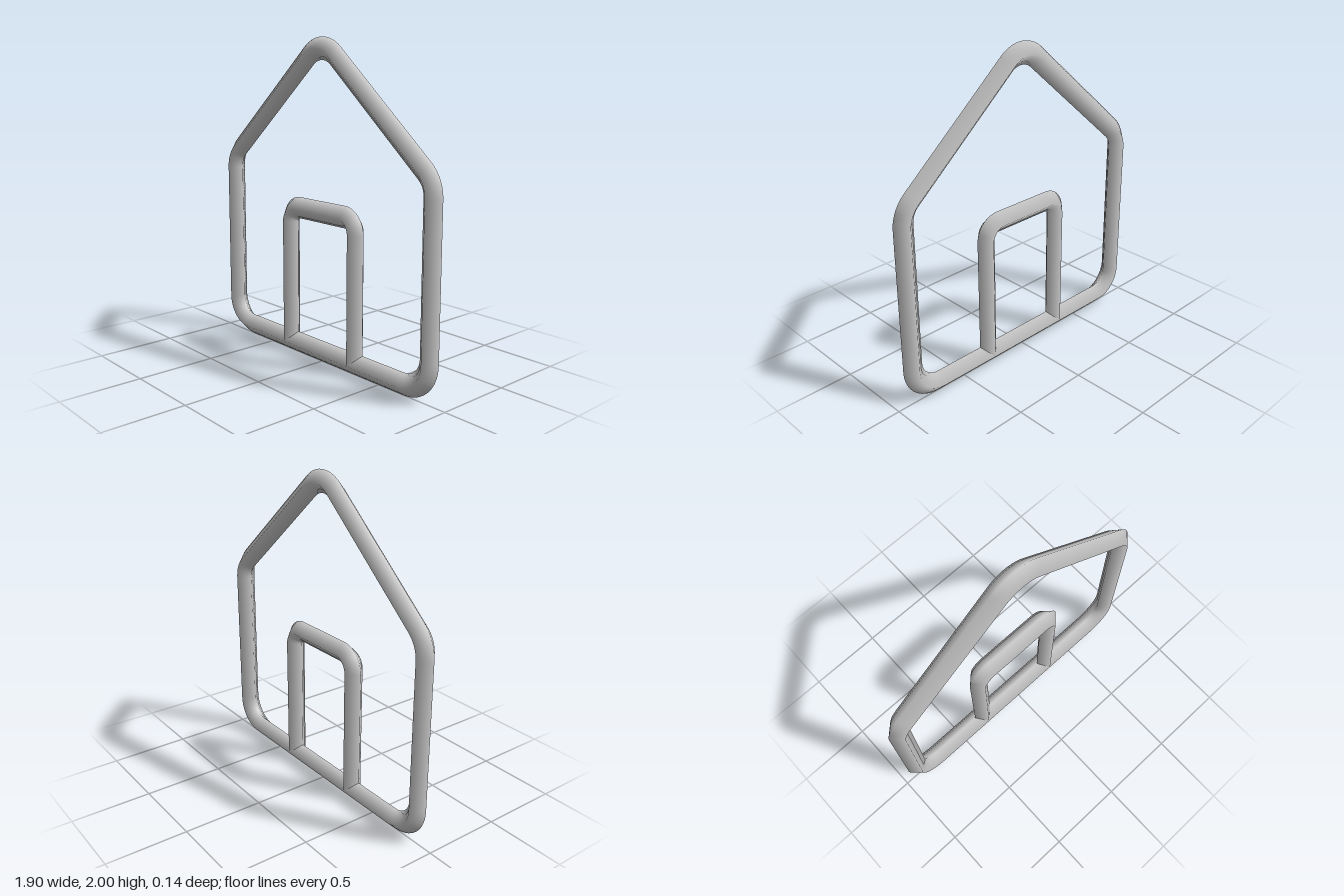
import * as THREE from 'three';

const TUBE = 0.068;

// Straight runs through the corner points, each corner rounded by an arc of the given radius
function roundedPath(points, radius, closed) {
  const pts = points.map(([x, y]) => new THREE.Vector3(x, y, 0));
  const n = pts.length;
  const path = new THREE.CurvePath();
  const corners = pts.map((p, i) => {
    if (!closed && (i === 0 || i === n - 1)) return { start: p, end: p };
    const a = pts[(i + n - 1) % n].clone().sub(p).normalize();
    const b = pts[(i + 1) % n].clone().sub(p).normalize();
    const turn = Math.PI - a.angleTo(b);
    const cut = radius * Math.tan(turn / 2);
    const handle = cut - radius * (4 / 3) * Math.tan(turn / 4);
    const at = (dir, d) => p.clone().addScaledVector(dir, d);
    const start = at(a, cut), end = at(b, cut);
    return { start, end, arc: new THREE.CubicBezierCurve3(start, at(a, handle), at(b, handle), end) };
  });
  corners.forEach((c, i) => {
    if (c.arc) path.add(c.arc);
    if (closed || i < n - 1) path.add(new THREE.LineCurve3(c.end, corners[(i + 1) % n].start));
  });
  return path;
}

// Four-sided bar with smooth normals, its edges facing front, back, in and out
function bar(name, points, radius, closed, material) {
  const path = roundedPath(points, radius, closed);
  path.arcLengthDivisions = 800;
  const mesh = new THREE.Mesh(new THREE.TubeGeometry(path, 320, TUBE, 4, closed), material);
  mesh.name = name;
  return mesh;
}

export function createModel() {
  const group = new THREE.Group();
  group.name = 'houseOutline';
  const grey = new THREE.MeshStandardMaterial({ color: 0xcccccc, side: THREE.DoubleSide });
  grey.name = 'lightGrey';

  // Walls, floor and gable roof as one closed loop
  group.add(bar('houseFrame',
    [[-0.882, 1.237], [-0.882, 0.068], [0.882, 0.068], [0.882, 1.237], [0, 1.99]],
    0.18, true, grey));

  // Doorway arch standing in the floor bar
  group.add(bar('doorFrame',
    [[-0.295, 0.07], [-0.295, 0.953], [0.295, 0.953], [0.295, 0.07]],
    0.09, false, grey));

  return group;
}
